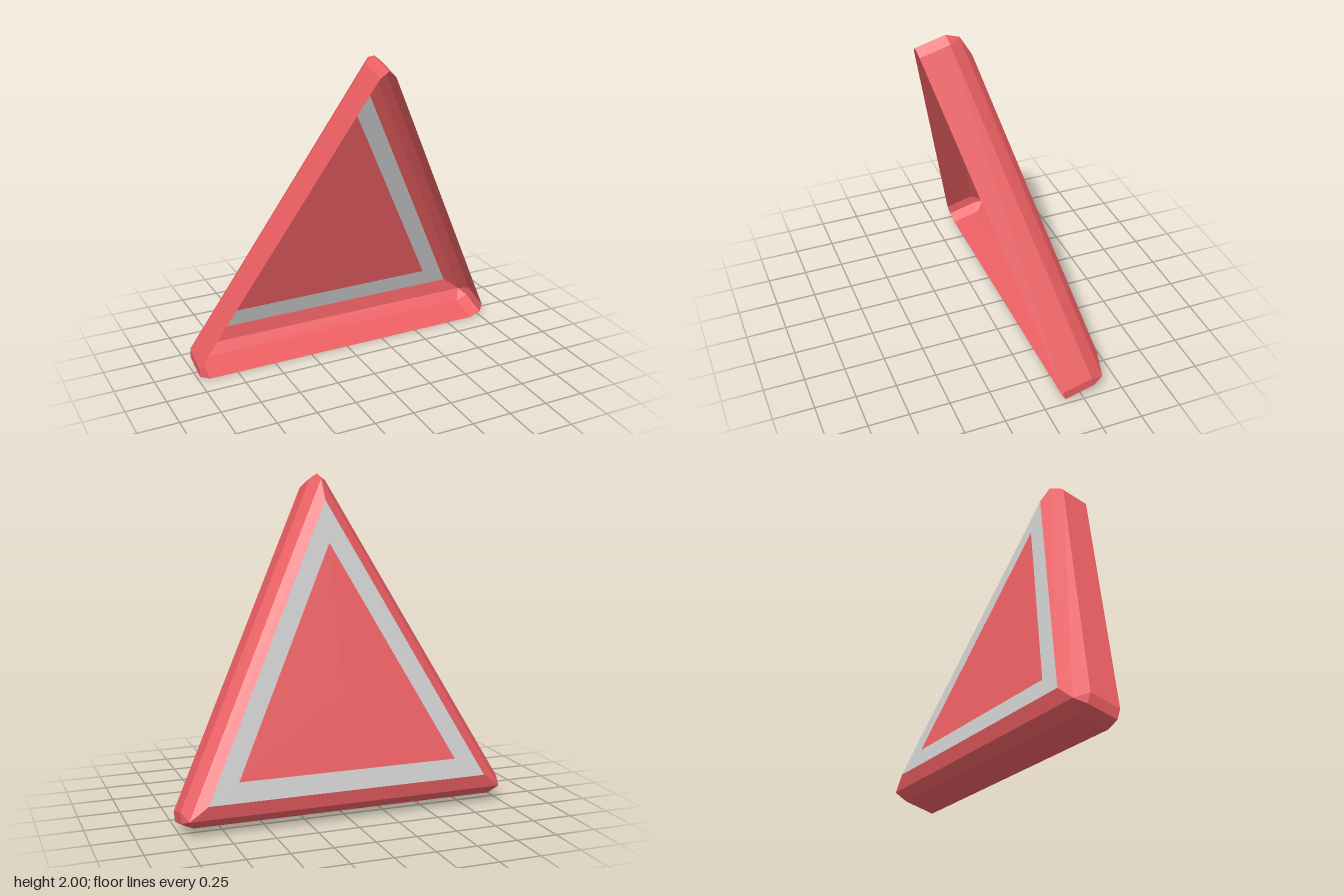
import * as THREE from 'three';

const red = new THREE.MeshStandardMaterial({ color: 0xea5e62, flatShading: true, side: THREE.DoubleSide });
const grey = new THREE.MeshStandardMaterial({ color: 0xcccccc, flatShading: true, side: THREE.DoubleSide });

// Triangle outline with each corner cut into three points (anticlockwise from the front).
function cutTriangle(z) {
  return [
    [0.93, -0.037], [0.997, -0.003], [1, 0.06],
    [0.05, 1.945], [0, 1.986], [-0.05, 1.945],
    [-1, 0.06], [-0.997, -0.003], [-0.93, -0.037],
  ].map(([x, y]) => new THREE.Vector3(x, y, z));
}

// Sharp triangle; every corner is repeated so it pairs with a cut outline.
function sharpTriangle(halfWidth, base, apex, z, repeat = 1) {
  return [[halfWidth, base], [0, apex], [-halfWidth, base]].flatMap(([x, y]) =>
    Array.from({ length: repeat }, () => new THREE.Vector3(x, y, z)));
}

// Faceted skin through a list of matching closed rings, ordered front to back.
function loft(name, rings, material) {
  const points = [];
  const addFace = (a, b, c) => {
    if (!a.equals(b) && !b.equals(c) && !c.equals(a)) points.push(a, b, c);
  };
  for (let r = 0; r < rings.length - 1; r++) {
    const [a, b] = [rings[r], rings[r + 1]];
    for (let j = 0; j < a.length; j++) {
      const k = (j + 1) % a.length;
      addFace(a[j], b[j], b[k]);
      addFace(a[j], b[k], a[k]);
    }
  }
  const geometry = new THREE.BufferGeometry().setFromPoints(points);
  geometry.computeVertexNormals();
  const mesh = new THREE.Mesh(geometry, material);
  mesh.name = name;
  return mesh;
}

export function createModel() {
  const model = new THREE.Group();
  model.name = 'triangularSign';

  const backZ = -0.43;
  const outer = sharpTriangle(0.86, 0.08, 1.8, backZ);
  const inner = sharpTriangle(0.675, 0.197, 1.541, backZ);
  const centre = inner.map(() => new THREE.Vector3(0, 0.645, backZ));

  const tray = new THREE.Group();
  tray.name = 'leaningTray';
  tray.rotation.x = THREE.MathUtils.degToRad(15.5);
  tray.add(
    // Open-fronted side wall with a two-step bevel towards the back
    loft('sideWall', [
      cutTriangle(-0.135),
      cutTriangle(-0.32),
      sharpTriangle(0.97, 0.003, 1.938, -0.392, 3),
      sharpTriangle(0.86, 0.08, 1.8, backZ, 3),
    ], red),
    // Flat back: grey border around the red centre
    loft('greyBorder', [outer, inner], grey),
    loft('centrePanel', [inner, centre], red),
  );
  model.add(tray);
  return model;
}
